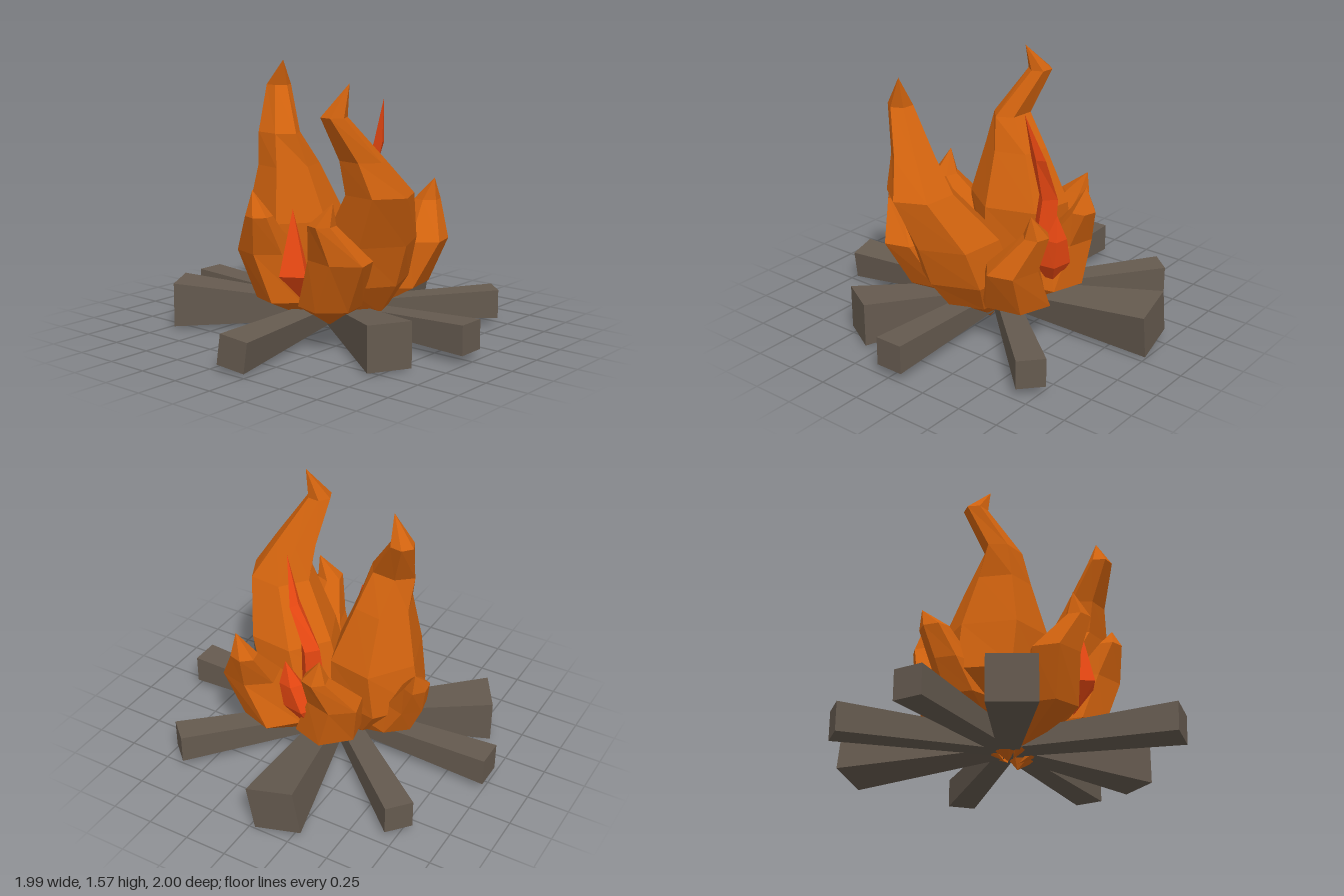
import * as THREE from 'three';

const paint = (color) => new THREE.MeshStandardMaterial({ color, flatShading: true, side: THREE.DoubleSide });

// Faceted loft through rings [x, y, z, rx, rz]; a ring of zero radius is a point.
function loft(rings, sides, phase) {
  const pos = [];
  const corner = ([x, y, z, rx, rz], i) => {
    const a = ((i % sides) / sides) * Math.PI * 2 + phase;
    return [x + Math.cos(a) * rx, y, z + Math.sin(a) * rz];
  };
  for (let r = 0; r + 1 < rings.length; r++) {
    const low = rings[r], high = rings[r + 1];
    for (let i = 0; i < sides; i++) {
      const a = corner(low, i), b = corner(low, i + 1);
      const c = corner(high, i), d = corner(high, i + 1);
      if (high[3] > 0) pos.push(...a, ...c, ...d);
      if (low[3] > 0) pos.push(...a, ...(high[3] > 0 ? d : c), ...b);
    }
  }
  const geo = new THREE.BufferGeometry();
  geo.setAttribute('position', new THREE.Float32BufferAttribute(pos, 3));
  geo.computeVertexNormals();
  return geo;
}

// Square log that widens from the centre to its outer end at (x, z).
function log(x, z, y, width, height, roll) {
  const length = Math.hypot(x, z);
  const geo = new THREE.BoxGeometry(width, height, length).translate(0, 0, length / 2);
  const p = geo.attributes.position;
  for (let i = 0; i < p.count; i++) {
    if (p.getZ(i) < 0.01) p.setXYZ(i, Math.sign(p.getX(i)) * 0.055, Math.sign(p.getY(i)) * 0.05, 0);
  }
  geo.rotateZ(roll);
  for (let i = 0; i < p.count; i++) {
    p.setY(i, p.getY(i) + 0.12 + (y - 0.12) * (p.getZ(i) / length));
  }
  geo.rotateY(Math.atan2(x, z));
  geo.computeVertexNormals();
  return geo;
}

export function createModel() {
  const group = new THREE.Group();
  const wood = paint(0x655a4f), orange = paint(0xd0620e), red = paint(0xec4912);
  const add = (name, geo, mat) => {
    const mesh = new THREE.Mesh(geo, mat);
    mesh.name = name;
    group.add(mesh);
  };

  // Ring of logs: outer end x, z, height of its middle, width, height, roll
  [
    ['logLeft', 0.99, 0, 0.135, 0.17, 0.17, 0],
    ['logRight', -1, 0, 0.135, 0.17, 0.17, 0],
    ['logFront', 0.15, 0.985, 0.11, 0.175, 0.175, -0.14],
    ['logBack', -0.15, -0.98, 0.165, 0.28, 0.27, 0.17],
    ['logFrontLeft', 0.77, 0.437, 0.14, 0.255, 0.26, 0],
    ['logFrontRight', -0.78, 0.472, 0.14, 0.27, 0.26, 0],
    ['logBackLeft', 0.67, -0.725, 0.135, 0.165, 0.17, 0],
    ['logBackRight', -0.755, -0.65, 0.135, 0.165, 0.17, 0],
  ].forEach(([name, ...size]) => add(name, log(...size), wood));

  // Two tall flames leaning apart
  add('tallFlameRight', loft([
    [0, 0.02, 0, 0, 0],
    [-0.18, 0.2, 0.02, 0.2, 0.2],
    [-0.25, 0.38, 0.04, 0.3, 0.3],
    [-0.23, 0.66, 0.04, 0.27, 0.31],
    [-0.25, 0.97, 0.08, 0.17, 0.19],
    [-0.28, 1.16, 0.13, 0.145, 0.1],
    [-0.39, 1.42, 0.01, 0.075, 0.07],
    [-0.31, 1.57, 0.06, 0, 0],
  ], 6, 0.15), orange);
  add('tallFlameLeft', loft([
    [0.1, 0, 0, 0, 0],
    [0.21, 0.18, 0.03, 0.2, 0.2],
    [0.27, 0.36, 0.05, 0.27, 0.29],
    [0.35, 0.6, 0.07, 0.27, 0.27],
    [0.5, 0.89, 0.18, 0.2, 0.19],
    [0.45, 1.08, 0.27, 0.14, 0.12],
    [0.375, 1.32, 0.42, 0.075, 0.075],
    [0.44, 1.5, 0.37, 0, 0],
  ], 6, 0.1), orange);

  // Ring of short flames around the tall ones
  [
    ['shortFlameFrontRight', [
      [0, 0.03, 0.03, 0, 0], [-0.08, 0.24, 0.29, 0.17, 0.18],
      [-0.16, 0.52, 0.38, 0.17, 0.15], [-0.1, 0.74, 0.5, 0.08, 0.075], [-0.15, 0.88, 0.5, 0, 0]]],
    ['shortFlameFrontLeft', [
      [0.06, 0.02, 0.03, 0, 0], [0.24, 0.24, 0.29, 0.18, 0.18],
      [0.37, 0.53, 0.36, 0.2, 0.15], [0.34, 0.74, 0.48, 0.08, 0.075], [0.41, 0.87, 0.47, 0, 0]]],
    ['shortFlameBackLeft', [
      [0.04, 0.03, -0.03, 0, 0], [0.24, 0.27, -0.29, 0.2, 0.22],
      [0.37, 0.54, -0.37, 0.18, 0.15], [0.33, 0.75, -0.5, 0.08, 0.075], [0.38, 0.88, -0.5, 0, 0]]],
    ['shortFlameBackRight', [
      [0, 0.03, -0.03, 0, 0], [-0.1, 0.27, -0.28, 0.2, 0.21],
      [-0.18, 0.53, -0.36, 0.17, 0.14], [-0.13, 0.74, -0.49, 0.08, 0.075], [-0.16, 0.87, -0.49, 0, 0]]],
    ['shortFlameRight', [
      [-0.02, 0.04, 0, 0, 0], [-0.37, 0.26, -0.04, 0.16, 0.15],
      [-0.49, 0.44, -0.07, 0.12, 0.12], [-0.58, 0.63, -0.13, 0.07, 0.09], [-0.6, 0.75, -0.2, 0, 0]]],
  ].forEach(([name, rings]) => add(name, loft(rings, 6, 0.3), orange));

  // Red tongues: two small ones front and back, one tall spike behind
  add('redTongueFront', loft([
    [0.1, 0.26, 0.36, 0, 0], [0.085, 0.42, 0.42, 0.11, 0.1], [0.08, 0.79, 0.42, 0, 0],
  ], 4, 0.2), red);
  add('redTongueBack', loft([
    [-0.02, 0.26, -0.36, 0, 0], [0.02, 0.45, -0.39, 0.11, 0.1],
    [0.06, 0.62, -0.44, 0.07, 0.06], [0.08, 0.77, -0.46, 0, 0],
  ], 5, 0.5), red);
  add('redSpike', loft([
    [0.02, 0.25, -0.2, 0, 0], [-0.01, 0.5, -0.3, 0.08, 0.08],
    [-0.01, 0.82, -0.335, 0.06, 0.065], [0.09, 1.08, -0.335, 0.025, 0.05], [0.16, 1.35, -0.29, 0, 0],
  ], 4, 0), red);

  return group;
}
